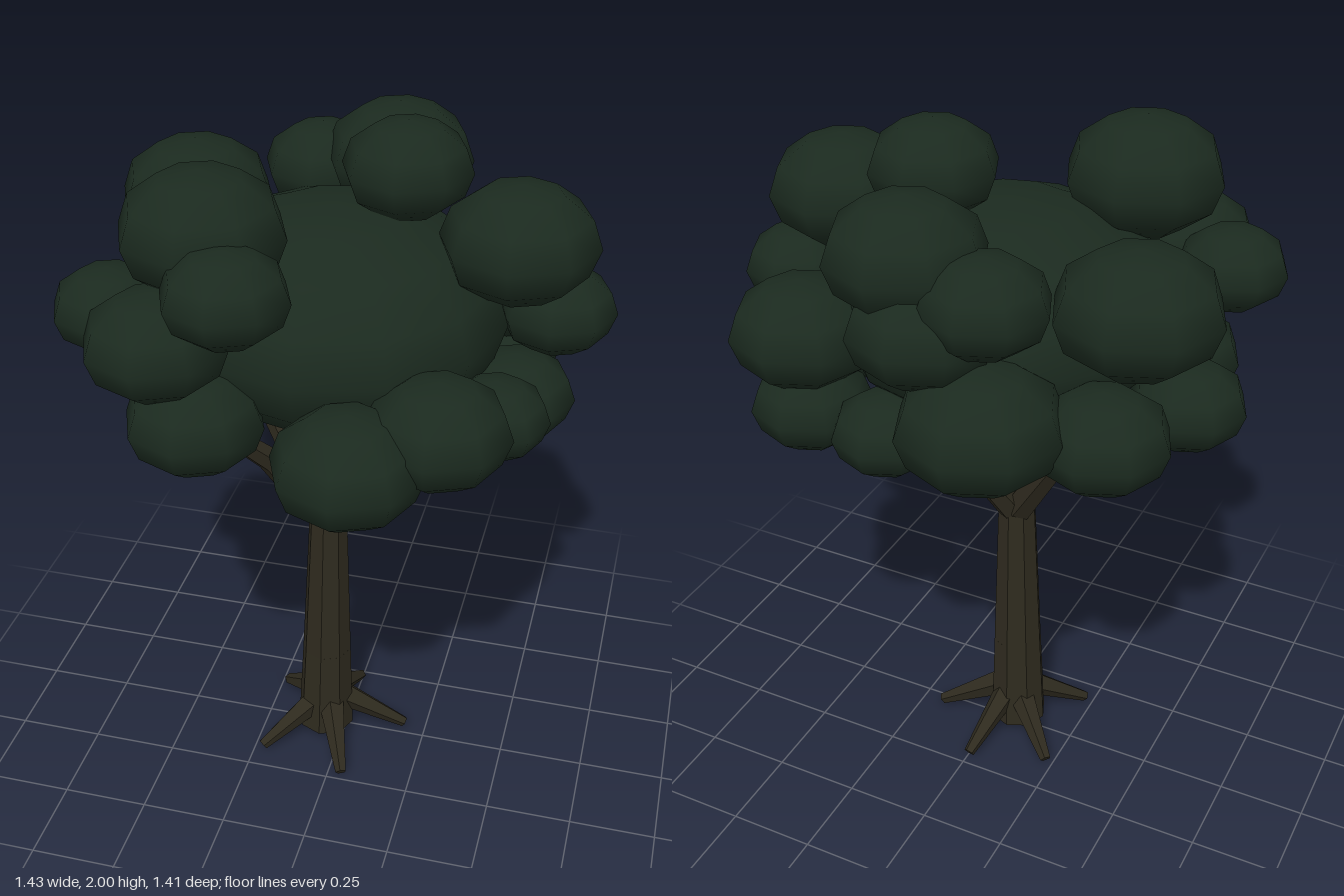
import * as THREE from 'three';

const bark = new THREE.MeshStandardMaterial({ color: 0x2e2a1e, flatShading: true });
bark.name = 'dark bark';
const leaf = new THREE.MeshStandardMaterial({ color: 0x1b2a1f });
leaf.name = 'dark green leaves';

const BASE = new THREE.Vector3(-0.05, 0, 0.015);
const UP = new THREE.Vector3(0, 1, 0);

// Tapered limb between two points
function limb(name, a, b, ra, rb, sides) {
  const dir = b.clone().sub(a);
  const mesh = new THREE.Mesh(new THREE.CylinderGeometry(rb, ra, dir.length(), sides), bark);
  mesh.position.copy(a).addScaledVector(dir, 0.5);
  mesh.quaternion.setFromUnitVectors(UP, dir.normalize());
  mesh.name = name;
  return mesh;
}

// Point around the trunk axis
function around(deg, radius, y) {
  const a = THREE.MathUtils.degToRad(deg);
  return new THREE.Vector3(BASE.x + Math.cos(a) * radius, y, BASE.z + Math.sin(a) * radius);
}

// Faceted ellipsoid of leaves
function clump(name, x, y, z, r, ry, w, h) {
  const mesh = new THREE.Mesh(new THREE.SphereGeometry(1, w, h), leaf);
  mesh.scale.set(r, ry, r);
  mesh.position.set(x, y, z);
  mesh.name = name;
  return mesh;
}

// x, y, z, radius of each outer leaf clump
const CLUMPS = [
  // crown
  [-0.49, 1.67, -0.24, 0.22], [-0.30, 1.80, 0.265, 0.22], [-0.18, 1.73, 0.46, 0.165],
  [0.45, 1.73, -0.02, 0.21], [0.05, 1.775, -0.405, 0.21], [0.14, 1.87, -0.09, 0.175],
  // middle
  [0.55, 1.515, -0.10, 0.16], [0.40, 1.46, -0.345, 0.20], [-0.02, 1.62, -0.46, 0.195],
  [-0.18, 1.71, -0.445, 0.17], [-0.38, 1.56, 0.425, 0.19], [-0.55, 1.57, 0.29, 0.155],
  // lower skirt
  [-0.19, 1.405, -0.49, 0.22], [0.13, 1.325, 0.50, 0.20], [-0.29, 1.35, 0.42, 0.185],
  [0.33, 1.385, 0.38, 0.19], [0.46, 1.28, -0.03, 0.165], [0.44, 1.32, 0.17, 0.145],
  [0.38, 1.255, -0.36, 0.165], [0.12, 1.26, -0.41, 0.15], [-0.56, 1.32, -0.03, 0.16],
  [-0.47, 1.37, 0.13, 0.17], [-0.45, 1.355, -0.34, 0.18],
];

export function createModel() {
  const tree = new THREE.Group();
  tree.name = 'tree';

  // Trunk in two tapering sections, leaning slightly
  const foot = new THREE.Vector3(-0.062, 0.03, 0.015);
  const waist = new THREE.Vector3(-0.056, 0.33, 0.018);
  const fork = new THREE.Vector3(-0.047, 0.86, 0.023);
  tree.add(limb('lowerTrunk', foot, waist, 0.087, 0.075, 8));
  tree.add(limb('upperTrunk', waist, fork, 0.075, 0.055, 8));

  // Five splayed roots
  const roots = new THREE.Group();
  roots.name = 'roots';
  for (const deg of [-12, 67, 137, 221, 281]) {
    roots.add(limb('root', around(deg, 0.035, 0.135), around(deg, 0.238, 0.016), 0.042, 0.017, 5));
  }
  tree.add(roots);

  // Five bent branches reaching into the leaves
  const branches = new THREE.Group();
  branches.name = 'branches';
  for (const deg of [307, 10, 62, 132, 204]) {
    const start = around(deg, 0.015, 0.82);
    const bend = around(deg, 0.19, 1.08);
    const tip = around(deg, 0.39, 1.28);
    branches.add(limb('branchBase', start, bend, 0.046, 0.036, 6));
    branches.add(limb('branchTip', bend, tip, 0.036, 0.024, 6));
  }
  tree.add(branches);

  // Canopy: broad core ringed by overlapping clumps
  const canopy = new THREE.Group();
  canopy.name = 'canopy';
  canopy.add(clump('canopyCore', -0.03, 1.49, -0.01, 0.465, 0.295, 12, 8));
  for (const [x, y, z, r] of CLUMPS) {
    canopy.add(clump('leafClump', x, y, z, r, r * 0.74, 8, 6));
  }
  tree.add(canopy);

  return tree;
}
